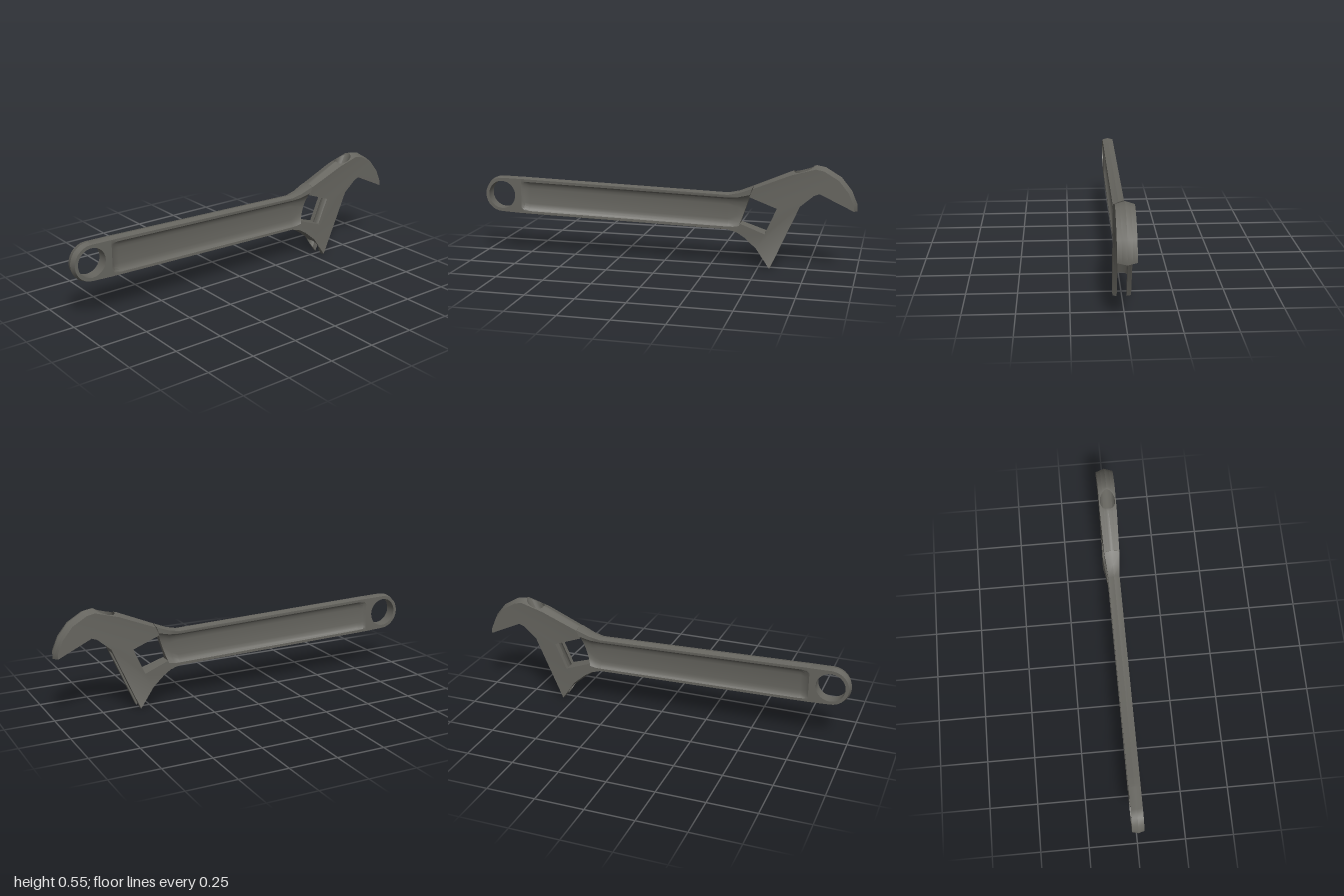
import * as THREE from 'three';
import { toCreasedNormals } from 'three/addons/utils/BufferGeometryUtils.js';

const steel = new THREE.MeshStandardMaterial({ color: 0x66655f });
steel.name = 'dark steel';

// Skins a row of matching 2D contours; place(point, k) puts a point of ring k in space.
function loft(rings, place, crease = 0.6) {
  const v = rings[0].map(p => new THREE.Vector2(p[0], p[1]));
  if (THREE.ShapeUtils.area(v) < 0) rings = rings.map(r => r.slice().reverse());
  const pts = rings.map((r, k) => r.map(p => place(p, k)));
  const out = [];
  const tri = (a, b, c) => out.push(...a, ...b, ...c);
  const n = pts[0].length;
  for (let k = 0; k + 1 < pts.length; k++) {
    for (let i = 0; i < n; i++) {
      const j = (i + 1) % n;
      tri(pts[k][i], pts[k][j], pts[k + 1][j]);
      tri(pts[k][i], pts[k + 1][j], pts[k + 1][i]);
    }
  }
  for (const k of [0, pts.length - 1]) {
    const flat = rings[k].map(p => new THREE.Vector2(p[0], p[1]));
    for (const [a, b, c] of THREE.ShapeUtils.triangulateShape(flat, [])) {
      if (k) tri(pts[k][a], pts[k][b], pts[k][c]);
      else tri(pts[k][a], pts[k][c], pts[k][b]);
    }
  }
  const geo = new THREE.BufferGeometry();
  geo.setAttribute('position', new THREE.Float32BufferAttribute(out, 3));
  return toCreasedNormals(geo, crease);
}

// Half thickness along the tool: thin handle swelling into the head
const HALF = 0.045;
const halfWidth = u => 0.03 + 0.015 * THREE.MathUtils.clamp((u - 0.36) / 0.16, 0, 1);

// Head outline points: u (= -z), y, and the inward shift at the side faces
const TOP = [[0.47, 0.433, 0, -0.012], [0.66, 0.515, 0.003, -0.014]];
const HOOK = [
  [0.785, 0.551, 0, -0.015], [0.83, 0.543, -0.004, -0.015], [0.91, 0.495, -0.01, -0.011],
  [0.963, 0.43, -0.013, -0.007], [0.993, 0.36, -0.014, -0.003], [0.993, 0.325, -0.014, 0.006],
  [0.807, 0.412, 0, 0], [0.78, 0.402, 0, 0], [0.71, 0.342, 0, 0],
];
const PRONG = [[0.56, 0, 0.003, 0.008], [0.545, 0.02, 0.006, 0.004]];
const BELLY = [[0.485, 0.103, 0.007, 0.007], [0.425, 0.153, 0.005, 0.01], [0.385, 0.178, 0, 0.012]];

// Jaw-face frame: t runs up along the face, q runs out of it
const A = [0.402, 0.916], N = [0.916, -0.402];
const P = (q, t) => [0.56 + A[0] * t + N[0] * q, A[1] * t + N[1] * q];
const Q = p => (p[0] - 0.56) * N[0] + p[1] * N[1];
const cut = (a, b, q) => {
  const k = (q - Q(a)) / (Q(b) - Q(a));
  return [a[0] + (b[0] - a[0]) * k, a[1] + (b[1] - a[1]) * k];
};
const WINDOW = [P(-0.236, 0.153), P(-0.099, 0.163), P(-0.099, 0.312), P(-0.251, 0.302)];
const BORE_Q = -0.064, BORE_R = 0.04, SLOT = 0.024;

// Contours of the head's pieces at depth x
function headSlice(x) {
  const f = Math.abs(x) / HALF;
  const at = list => list.map(p => [p[0] + p[2] * f, p[1] + p[3] * f]);
  const top = at(TOP), hook = at(HOOK), prong = at(PRONG), belly = at(BELLY);
  const w = Math.sqrt(Math.max(0, BORE_R * BORE_R - x * x));
  const qb = BORE_Q - w, qf = BORE_Q + w;
  const tb = cut(top[1], hook[0], qb), tf = cut(top[1], hook[0], qf);
  const bb = cut(prong[1], belly[0], qb), bf = cut(prong[1], belly[0], qf);
  return {
    shoulder: [...top, tb, P(qb, 0.312), WINDOW[3]],
    lowerHead: [P(qb, 0.163), bb, ...belly, WINDOW[0]],
    jawCore: [tf, ...hook, P(0, 0.345), P(qf, 0.345)],
    headSide: [...top, tb, bb, ...belly, ...WINDOW],
    jawSide: [tf, ...hook, ...prong, bf],
    cheek: [...top, ...hook, ...prong, ...belly, ...WINDOW],
  };
}

export function createModel() {
  const group = new THREE.Group();
  const add = (name, geo) => {
    const m = new THREE.Mesh(geo, steel);
    m.name = name;
    group.add(m);
    return m;
  };

  // Head, in layers through the thickness so the bore and slot stay open
  const headPart = (name, xs) => add(name, loft(xs.map(x => headSlice(x)[name]),
    (p, k) => [xs[k] * halfWidth(p[0]) / HALF, p[1], -p[0]]));
  const core = [-SLOT, -0.012, 0, 0.012, SLOT];
  for (const name of ['shoulder', 'lowerHead', 'jawCore']) headPart(name, core);
  const side = [SLOT, 0.03, 0.035, 0.038, BORE_R];
  const mirrored = xs => xs.map(x => -x).reverse();
  for (const name of ['headSide', 'jawSide']) {
    headPart(name, side);
    headPart(name, mirrored(side));
  }
  headPart('cheek', [BORE_R, HALF]);
  headPart('cheek', mirrored([BORE_R, HALF]));

  // Handle stations: top u, y, bottom u, y, recess depth, rim scale
  const stations = [
    [-0.79, 0.42, -0.79, 0.217, 0, 1.3], [-0.775, 0.42, -0.775, 0.217, 0.6, 1.1],
    [-0.745, 0.419, -0.745, 0.216, 1, 1], [0.34, 0.39, 0.34, 0.193, 1, 1],
    [0.4, 0.404, 0.365, 0.185, 1, 1.4], [0.47, 0.433, 0.385, 0.178, 1, 2],
  ].reverse();
  const inset = [0.022, 0.03, 0.044, 0.06], scoop = [0, 0.45, 0.85, 1], web = 0.013;
  const sections = stations.map(([ut, yt, ub, yb, depth, rim]) => {
    const rightSide = [];
    const quarter = (y0, u, dir) => {
      const w = halfWidth(u);
      return [[w, y0 + dir * 0.012 * w / HALF],
        ...inset.map((d, i) => [w - depth * (w - web) * scoop[i], y0 + dir * d * rim])];
    };
    rightSide.push(...quarter(yb, ub, 1), ...quarter(yt, ut, -1).reverse());
    const leftSide = rightSide.map(([x, y]) => [-x, y]).reverse();
    return [[0, yb], ...rightSide, [0, yt], ...leftSide];
  });
  add('handle', loft(sections, (p, k) => {
    const [ut, yt, ub, yb] = stations[k];
    return [p[0], p[1], -(ub + (ut - ub) * (p[1] - yb) / (yt - yb))];
  }, 0.5));

  // Neck between the hanging ring and the handle
  const arc = [];
  for (let i = 0; i <= 14; i++) {
    const a = -Math.PI / 2 + Math.PI * i / 14;
    arc.push([-0.9 + 0.078 * Math.cos(a), 0.322 + 0.078 * Math.sin(a)]);
  }
  const neckX = [-0.03, 0, 0.03];
  add('ringNeck', loft(neckX.map(x => {
    const e = 0.008 * Math.abs(x) / 0.03;
    return [[-0.9, 0.222 + e], ...arc, [-0.9, 0.422 - e], [-0.79, 0.42 - e], [-0.79, 0.217 + e]];
  }), (p, k) => [neckX[k], p[1], -p[0]]));

  // Hanging ring with a ridged outer edge
  const profile = [[0.075, -0.03], [0.092, -0.03], [0.1, 0], [0.092, 0.03], [0.075, 0.03], [0.075, -0.03]]
    .map(p => new THREE.Vector2(...p));
  const ring = add('hangingRing', toCreasedNormals(new THREE.LatheGeometry(profile, 28), 0.5));
  ring.rotation.z = Math.PI / 2;
  ring.position.set(0, 0.322, 0.9);

  return group;
}
